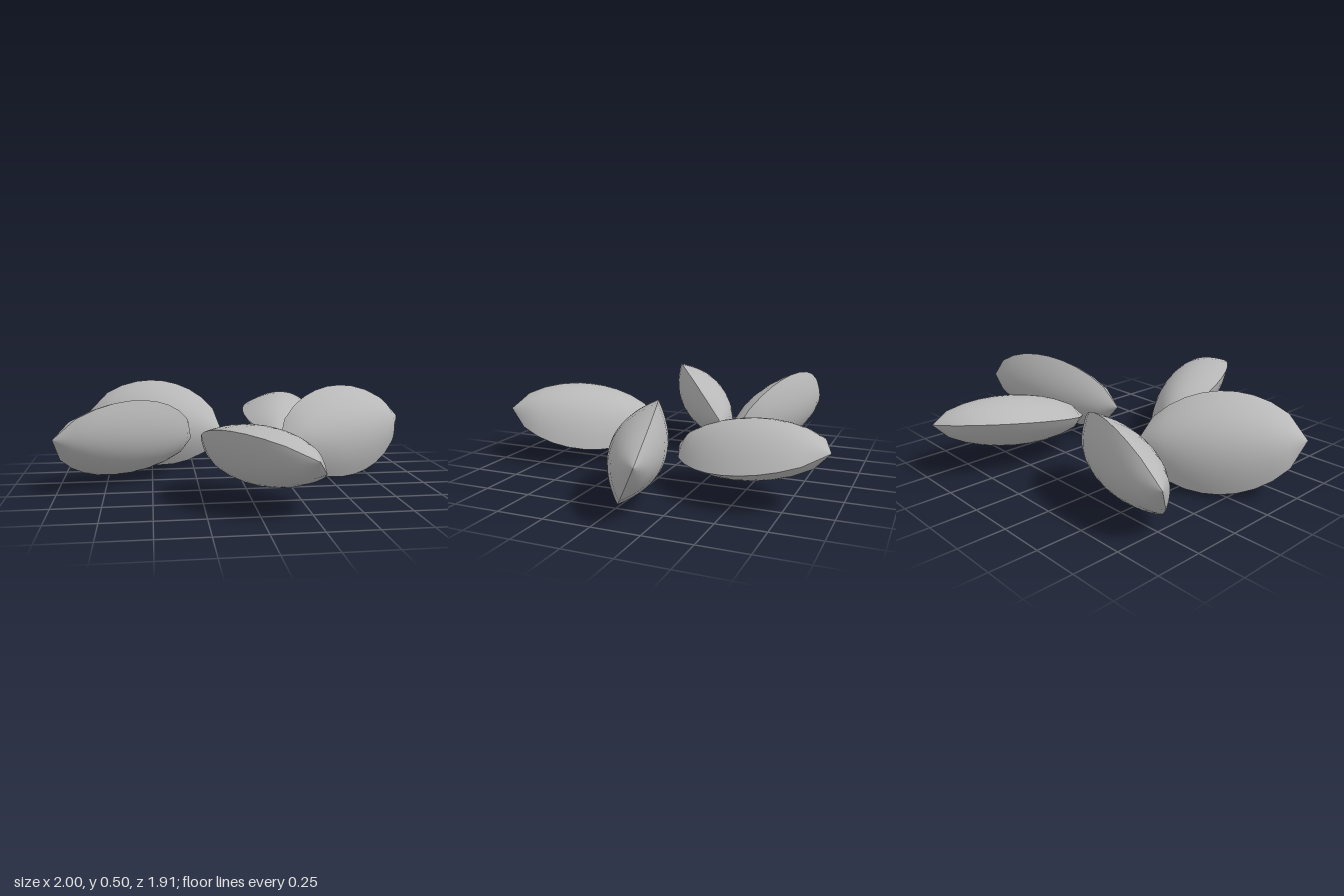
import * as THREE from 'three';
import { mergeGeometries } from 'three/addons/utils/BufferGeometryUtils.js';

const HALF_WIDTH = 0.27, HALF_THICKNESS = 0.14;

// Unit almond along y: two bulging faces that meet in a sharp rim, pointed at both tips
function almondGeometry(rings = 10, strips = 16) {
  const face = new THREE.PlaneGeometry(2, 2, strips, rings);
  const pos = face.attributes.position;
  for (let i = 0; i < pos.count; i++) {
    const s = pos.getX(i), y = pos.getY(i);
    const spread = Math.pow(Math.max(0, 1 - y * y), 0.65);
    pos.setXYZ(i, s * spread, y, (1 - s * s) * spread);
  }
  face.computeVertexNormals();
  return mergeGeometries([face, face.clone().rotateY(Math.PI)]);
}

// Place an almond between two tips, rolled about its long axis
function petalGeometry(inner, outer, rollDegrees) {
  const a = new THREE.Vector3(...inner), b = new THREE.Vector3(...outer);
  const axis = b.clone().sub(a);
  const length = axis.length();
  axis.normalize();
  const level = new THREE.Vector3(0, 1, 0).cross(axis).normalize();
  const wide = level.applyAxisAngle(axis, -THREE.MathUtils.degToRad(-rollDegrees));
  const thin = wide.clone().cross(axis);
  const matrix = new THREE.Matrix4()
    .makeBasis(wide, axis, thin)
    .scale(new THREE.Vector3(HALF_WIDTH, length / 2, HALF_THICKNESS))
    .setPosition(a.add(b).multiplyScalar(0.5));
  return almondGeometry().applyMatrix4(matrix);
}

export function createModel() {
  const group = new THREE.Group();
  group.name = 'petalRing';
  const grey = new THREE.MeshStandardMaterial({ color: 0xb8b8b8 });
  grey.name = 'grey';

  // name, inner tip, outer tip, roll
  const petals = [
    ['frontPetal', [-0.18, 0.21, 0.19], [0.23, 0.31, 0.95], -34],
    ['leftPetal', [0.2, 0.21, 0.12], [1, 0.31, -0.22], 68],
    ['backLeftPetal', [0.24, 0.21, -0.12], [0.46, 0.31, -0.96], 15],
    ['backRightPetal', [-0.07, 0.21, -0.32], [-0.89, 0.31, -0.62], -67],
    ['rightPetal', [-0.27, 0.21, -0.18], [-1, 0.31, 0.3], 58],
  ];
  for (const [name, inner, outer, roll] of petals) {
    const petal = new THREE.Mesh(petalGeometry(inner, outer, roll), grey);
    petal.name = name;
    group.add(petal);
  }
  return group;
}
